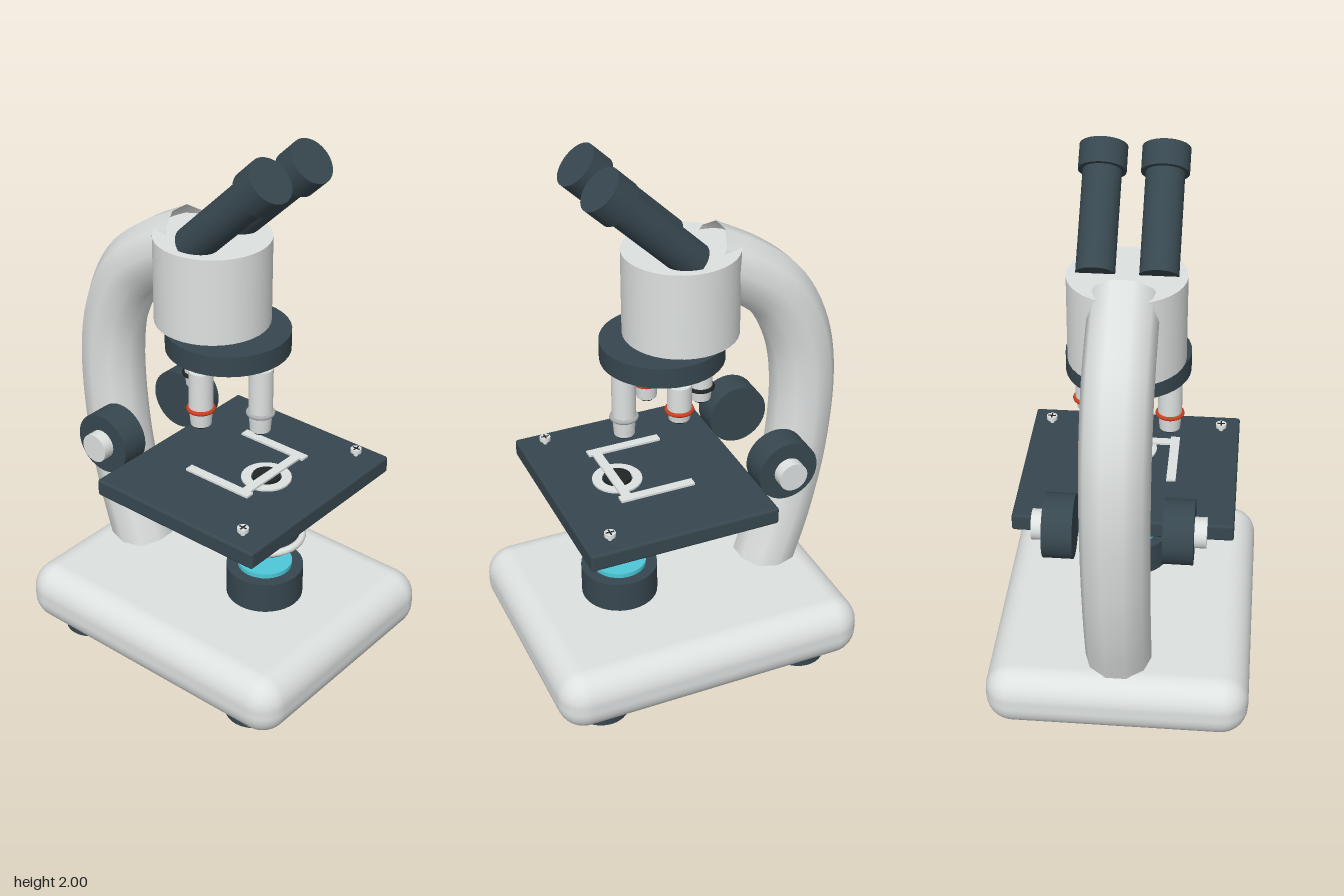
import * as THREE from 'three';
import { RoundedBoxGeometry } from 'three/addons/geometries/RoundedBoxGeometry.js';

const mat = (name, color, side = THREE.FrontSide) => {
  const m = new THREE.MeshStandardMaterial({ color, side });
  m.name = name;
  return m;
};

export function createModel() {
  const model = new THREE.Group();
  model.name = 'microscope';
  const light = mat('light grey enamel', 0xdde1e0, THREE.DoubleSide);
  const dark = mat('dark slate', 0x37474f);
  const silver = mat('silver', 0xa9adad);
  const red = mat('red', 0xc8401f);
  const black = mat('black', 0x212526);
  const cyan = mat('cyan glass', 0x4dc8d8);

  const add = (name, geometry, material, x = 0, y = 0, z = 0, parent = model) => {
    const mesh = new THREE.Mesh(geometry, material);
    mesh.name = name;
    mesh.position.set(x, y, z);
    parent.add(mesh);
    return mesh;
  };
  // Upright cylinder between two heights
  const drum = (name, material, r, y0, y1, x, z, parent = model, rBottom = r) =>
    add(name, new THREE.CylinderGeometry(r, rBottom, y1 - y0, 36), material, x, (y0 + y1) / 2, z, parent);
  // Horizontal torus
  const ring = (name, material, r, tube, x, y, z, parent = model) => {
    const mesh = add(name, new THREE.TorusGeometry(r, tube, 10, 36), material, x, y, z, parent);
    mesh.rotation.x = Math.PI / 2;
    return mesh;
  };

  // Base and feet
  add('base', new RoundedBoxGeometry(0.95, 0.23, 1.18, 5, 0.1), light, 0, 0.145, 0.03);
  for (const x of [-0.315, 0.315])
    for (const z of [0.43, -0.365]) drum('foot', dark, 0.098, 0, 0.04, x, z);

  // Curved arm, open at its upper end
  const armPath = new THREE.CatmullRomCurve3([
    [0.24, -0.37], [0.48, -0.442], [0.72, -0.487], [1.02, -0.503], [1.22, -0.47],
    [1.39, -0.383], [1.495, -0.26], [1.58, -0.11],
  ].map(([y, z]) => new THREE.Vector3(0, y, z)));
  add('arm', new THREE.TubeGeometry(armPath, 40, 0.12, 10), light);

  // Head and turret
  drum('head', light, 0.205, 1.307, 1.622, 0, -0.02);
  drum('turret', dark, 0.22, 1.22, 1.295, 0, 0.05);

  // Binocular eyepieces, leaning toward the front
  for (const side of [-1, 1]) {
    const eyepiece = new THREE.Group();
    eyepiece.name = 'eyepiece';
    eyepiece.position.set(side * 0.107, 1.62, -0.02);
    eyepiece.rotation.x = 0.8;
    drum('eyepieceTube', dark, 0.067, 0, 0.37, 0, 0, eyepiece);
    drum('eyepieceCap', dark, 0.083, 0.365, 0.455, 0, 0, eyepiece);
    model.add(eyepiece);
  }

  // Four objectives around the turret: x, z, bottom, band height, band colour
  const objectives = [
    [0, 0.197, 0.932, 1.01, silver],
    [-0.147, 0.05, 0.968, 1.038, red],
    [0.147, 0.05, 1.042, 1.087, red],
    [0, -0.097, 1.007, 1.064, black],
  ];
  for (const [x, z, bottom, bandY, bandMat] of objectives) {
    const objective = new THREE.Group();
    objective.name = 'objective';
    drum('objectiveBarrel', light, 0.043, bandY, 1.187, x, z, objective);
    drum('objectiveNose', light, 0.042, bottom + 0.01, bandY, x, z, objective, 0.037);
    drum('objectiveTip', black, 0.026, bottom, bottom + 0.012, x, z, objective);
    ring('objectiveBand', bandMat, 0.044, 0.008, x, bandY, z, objective);
    model.add(objective);
  }

  // Stage with its aperture
  add('stage', new RoundedBoxGeometry(0.79, 0.065, 0.705, 2, 0.01), dark, 0, 0.7175, 0.1275);
  const apertureShape = new THREE.Shape().absarc(0, 0, 0.09, 0, Math.PI * 2);
  apertureShape.holes.push(new THREE.Path().absarc(0, 0, 0.055, 0, Math.PI * 2, true));
  const aperture = add('apertureRing', new THREE.ExtrudeGeometry(apertureShape,
    { depth: 0.008, bevelEnabled: false, curveSegments: 32 }), light, 0, 0.749, 0.228);
  aperture.rotation.x = -Math.PI / 2;
  drum('apertureGlass', black, 0.05, 0.749, 0.765, 0, 0.228);

  // U-shaped slide holder
  for (const x of [-0.157, 0.157])
    add('slideClipArm', new THREE.BoxGeometry(0.034, 0.008, 0.28), light, x, 0.776, 0.14);
  add('slideClipBar', new THREE.BoxGeometry(0.28, 0.008, 0.034), light, 0, 0.776, 0.25);

  // Cross-head stage screws
  for (const x of [-0.325, 0.325]) {
    drum('screwStem', light, 0.008, 0.678, 0.768, x, 0.385);
    drum('screwHead', light, 0.02, 0.765, 0.78, x, 0.385);
    add('screwSlot', new THREE.BoxGeometry(0.03, 0.002, 0.005), black, x, 0.7805, 0.385);
    add('screwSlot', new THREE.BoxGeometry(0.005, 0.002, 0.03), black, x, 0.7805, 0.385);
  }

  // Condenser under the stage
  drum('condenser', dark, 0.125, 0.49, 0.665, 0, 0.228);
  ring('condenserRing', light, 0.134, 0.014, 0, 0.515, 0.228);

  // Illuminator with glass
  drum('illuminator', dark, 0.141, 0.25, 0.38, 0, 0.228);
  drum('illuminatorGlass', cyan, 0.1, 0.375, 0.397, 0, 0.228);

  // Focus knobs
  for (const side of [-1, 1]) {
    const coarse = drum('coarseKnob', dark, 0.114, 0.742, 0.848, side * 0.207, -0.325);
    const fine = drum('fineKnob', light, 0.054, 0.77, 0.82, side * 0.278, -0.325);
    coarse.rotation.z = fine.rotation.z = Math.PI / 2;
  }

  return model;
}
